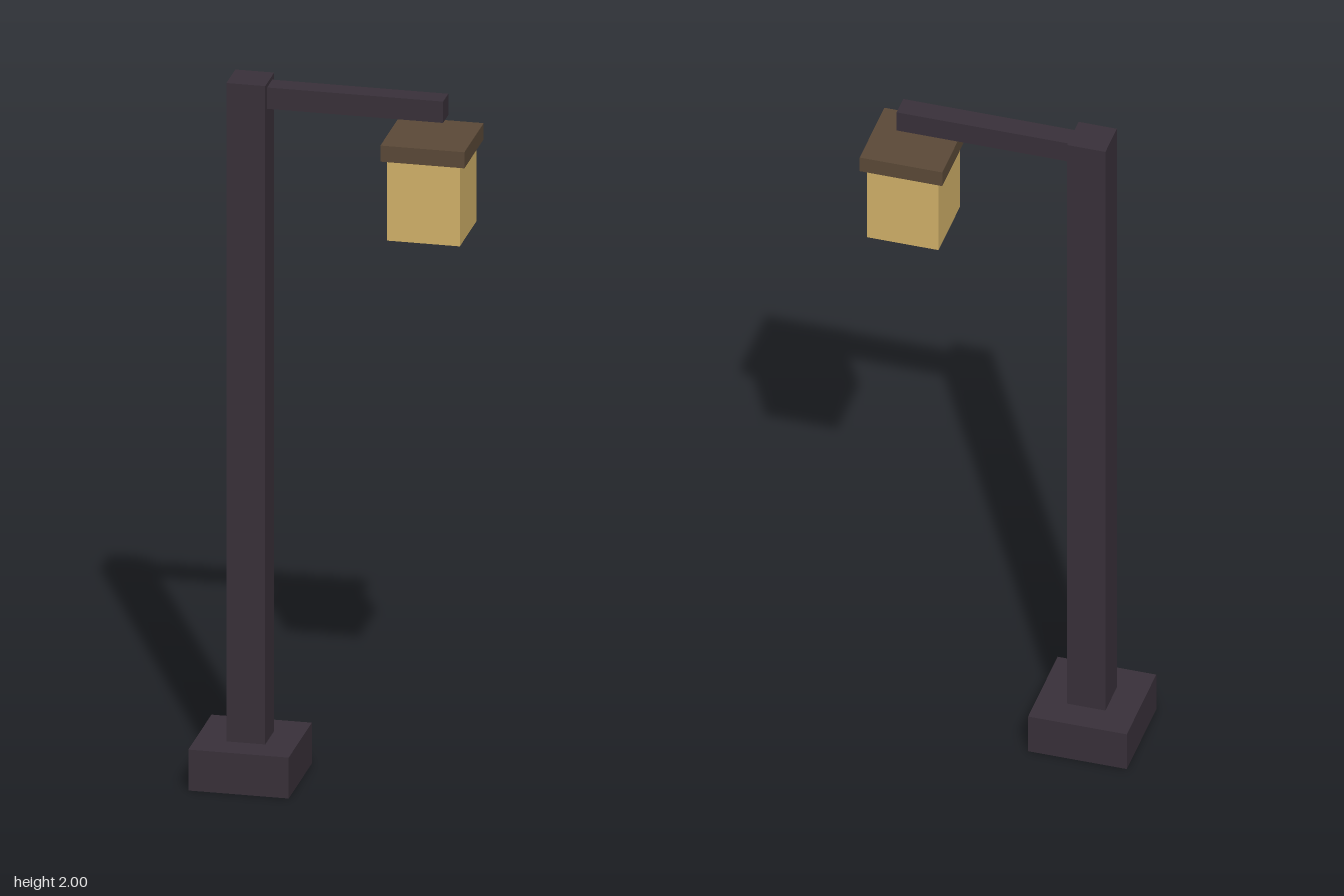
import * as THREE from 'three';

function material(name, color) {
  const m = new THREE.MeshStandardMaterial({ color });
  m.name = name;
  return m;
}

export function createModel() {
  const model = new THREE.Group();
  model.name = 'streetLamp';

  const darkIron = material('dark iron', 0x39313a);
  const brownCap = material('brown cap', 0x5c4a38);
  const warmGlass = material('warm glass', 0xd4b36a);

  // Box given by its x range, y range and depth, centred on z = 0
  function box(name, mat, x0, x1, y0, y1, depth) {
    const mesh = new THREE.Mesh(new THREE.BoxGeometry(x1 - x0, y1 - y0, depth), mat);
    mesh.position.set((x0 + x1) / 2, (y0 + y1) / 2, 0);
    mesh.name = name;
    model.add(mesh);
  }

  // Foot, post and overhanging arm
  box('base', darkIron, -0.377, -0.101, 0, 0.117, 0.276);
  box('post', darkIron, -0.292, -0.185, 0.117, 2, 0.107);
  box('arm', darkIron, -0.185, 0.299, 1.927, 1.988, 0.062);

  // Lantern hanging clear below the arm
  box('lanternCap', brownCap, 0.146, 0.377, 1.834, 1.88, 0.23);
  box('lantern', warmGlass, 0.161, 0.361, 1.604, 1.834, 0.2);

  return model;
}
